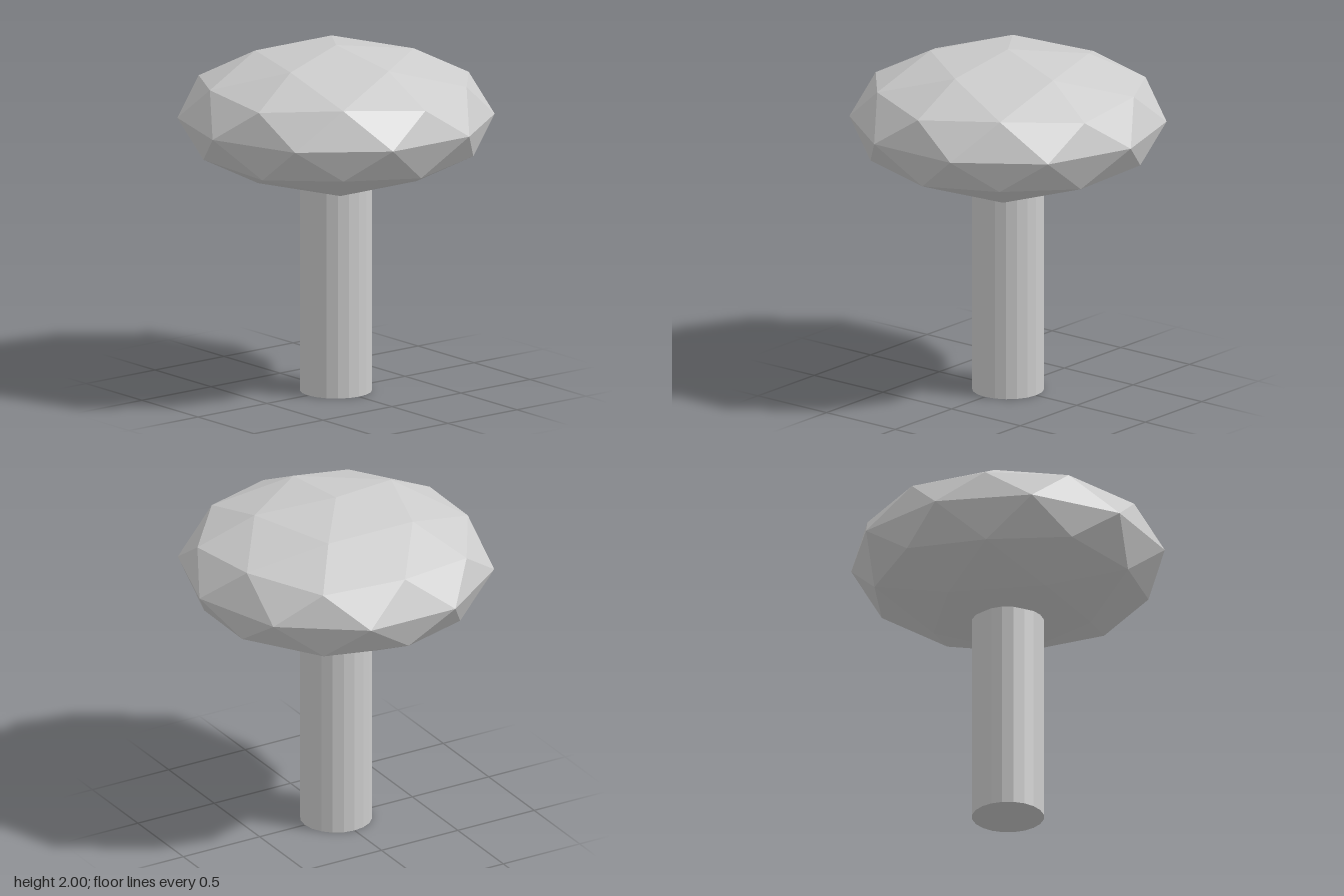
import * as THREE from 'three';

export function createModel() {
  const tree = new THREE.Group();
  tree.name = 'tree';
  const grey = new THREE.MeshStandardMaterial({ color: 0xcccccc, flatShading: true });
  grey.name = 'plain grey';

  // Trunk: faceted cylinder reaching a little into the crown
  const trunkHeight = 1.23;
  const trunk = new THREE.Mesh(new THREE.CylinderGeometry(0.204, 0.204, trunkHeight, 20), grey);
  trunk.name = 'trunk';
  trunk.position.y = trunkHeight / 2;

  // Crown: icosphere tipped onto a corner, then squashed vertically
  const radius = 0.894;
  const halfHeight = 0.41;
  const golden = (1 + Math.sqrt(5)) / 2;
  const crownShape = new THREE.IcosahedronGeometry(radius, 1);
  crownShape.rotateZ(-Math.atan(1 / golden));
  crownShape.scale(1, halfHeight / radius, 1);
  crownShape.computeVertexNormals();
  const crown = new THREE.Mesh(crownShape, grey);
  crown.name = 'crown';
  crown.position.y = 2 - halfHeight;

  tree.add(trunk, crown);
  return tree;
}
